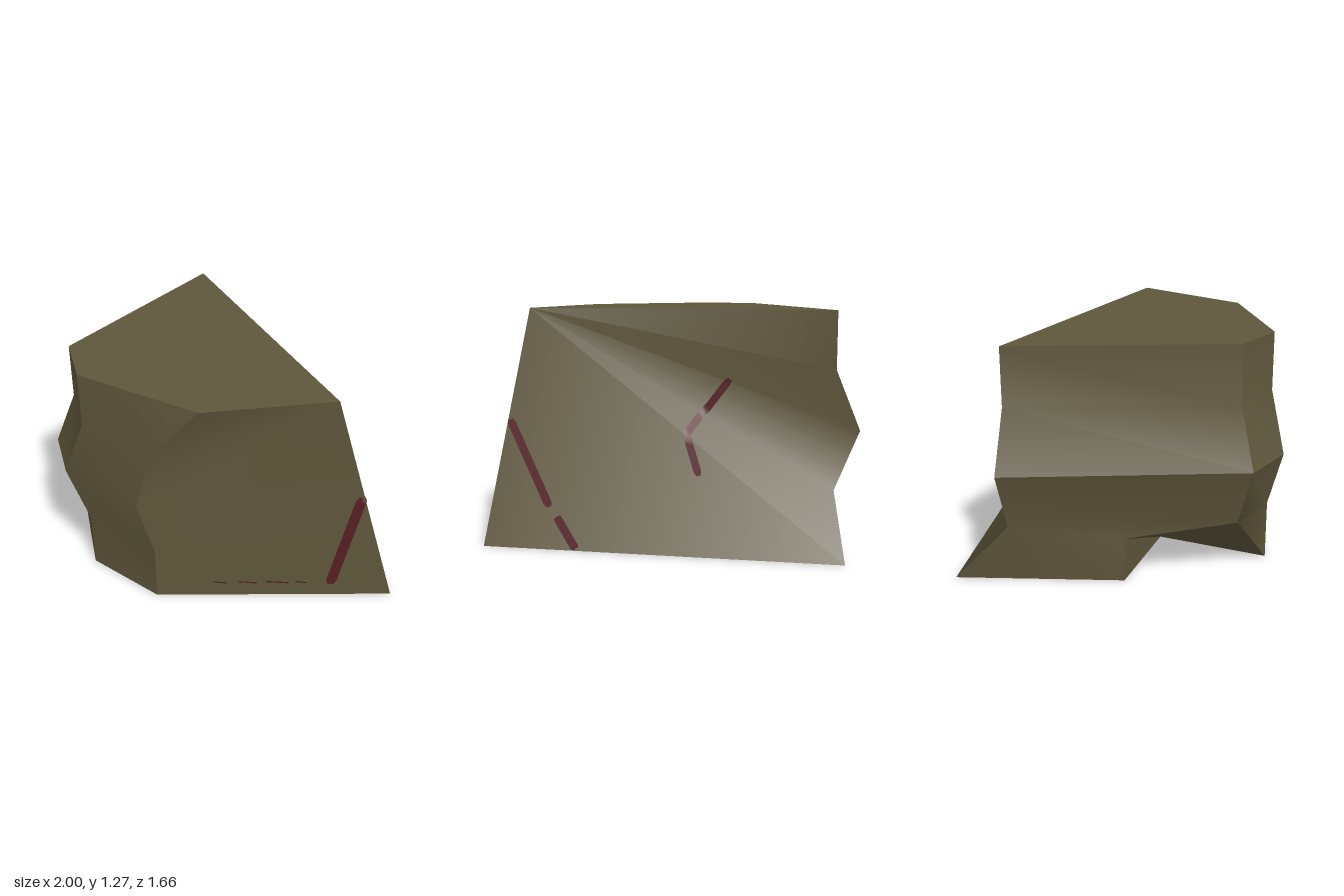
import * as THREE from 'three';
import { toCreasedNormals } from 'three/addons/utils/BufferGeometryUtils.js';

// Corner columns of the boulder, each listed from top to bottom
const A = [[-0.87, 1.27, -0.53], [-0.87, 0.96, -0.53], [-1, 0.64, -0.54], [-0.87, 0.32, -0.53], [-0.87, 0, -0.83]];
const B = [[-0.59, 1.27, 0.62], [-0.59, 0.96, 0.62], [-0.69, 0.64, 0.7], [-0.59, 0.32, 0.62]];
const C = [[-0.3, 1.27, 0.75], [-0.3, 0.96, 0.75], [-0.39, 0.64, 0.83], [-0.3, 0.32, 0.75], [-0.3, 0, 0.75]];
const D = [[0.39, 1.27, 0.49], [0.17, 0.96, 0.64], [0.12, 0.64, 0.71], [0.17, 0.32, 0.64], [0.17, 0, 0.64]];
const E = [[0.75, 1.27, -0.12], [1, 0, -0.39]];
// Corners of the hollow under the front left edge
const P1 = [-0.73, 0.24, 0.05], P0 = [-0.73, 0, 0.05], N = [-0.17, 0, 0.14];

export function createModel() {
  const group = new THREE.Group();
  const stone = new THREE.MeshStandardMaterial({ color: 0x5f573c });
  stone.name = 'olive stone';
  const red = new THREE.MeshStandardMaterial({ color: 0x561f23, side: THREE.DoubleSide });
  red.name = 'dark red';
  const rocks = [];

  // Polygons are fanned from their first corner
  function addRock(name, faces, crease) {
    const pos = [];
    for (const f of faces)
      for (let i = 1; i < f.length - 1; i++) pos.push(...f[0], ...f[i], ...f[i + 1]);
    const g = new THREE.BufferGeometry();
    g.setAttribute('position', new THREE.Float32BufferAttribute(pos, 3));
    const mesh = new THREE.Mesh(toCreasedNormals(g, crease), stone);
    mesh.name = name;
    rocks.push(mesh);
    group.add(mesh);
  }
  const wall = (l, r, from, to) => {
    const faces = [];
    for (let i = from; i < to; i++) faces.push([l[i], l[i + 1], r[i + 1], r[i]]);
    return faces;
  };

  addRock('topFace', [[A[0], B[0], C[0], D[0], E[0]]], 0.5);
  addRock('underside', [[N, D[4], C[4]], [N, E[1], D[4]], [N, A[4], E[1]], [N, P0, A[4]]], 0.5);
  addRock('leftWall', [...wall(A, B, 0, 3),
    [A[3], A[4], P0], [A[3], P0, P1], [A[3], P1, B[3]]], 0.5);
  addRock('frontLeftWall', wall(B, C, 0, 2), 0.5);
  addRock('frontWall', wall(C, D, 0, 4), 0.5);
  addRock('frontHollow', [...wall(B, C, 2, 3),
    [B[3], C[4], C[3]], [B[3], N, C[4]], [B[3], P1, N], [P1, P0, N]], 1.2);

  // Right and back walls fan out from the shared upper corner
  const right = [[D[4], E[1], E[0]]], back = [[E[0], E[1], A[4]]];
  for (let i = 0; i < 4; i++) {
    right.push([D[i], D[i + 1], E[0]]);
    back.push([E[0], A[i + 1], A[i]]);
  }
  addRock('rightWall', right, 0.9);
  addRock('backWall', back, 0.9);

  // Painted ribbon laid on the stone: path in (z, y) for the right, (x, y) for the back
  const ray = new THREE.Raycaster();
  function addMark(name, side, path, width) {
    const curve = new THREE.CurvePath();
    const pts = path.map(([a, b]) => new THREE.Vector2(a, b));
    for (let i = 1; i < pts.length; i++) curve.add(new THREE.LineCurve(pts[i - 1], pts[i]));
    const steps = 24, pos = [], index = [];
    const dir = side === 'right' ? new THREE.Vector3(-1, 0, 0) : new THREE.Vector3(0, 0, 1);
    for (let i = 0; i <= steps; i++) {
      const p = curve.getPointAt(i / steps);
      const t = curve.getTangentAt(i / steps);
      const taper = i === 0 || i === steps ? 0.6 : 1;
      for (const s of [-0.5, 0.5]) {
        const a = p.x - t.y * width * s * taper, y = p.y + t.x * width * s * taper;
        const from = side === 'right' ? new THREE.Vector3(3, y, a) : new THREE.Vector3(a, y, -3);
        ray.set(from, dir);
        const hit = ray.intersectObjects(rocks)[0];
        const q = hit ? hit.point.addScaledVector(hit.face.normal, 0.006) : null;
        if (q) pos.push(q.x, q.y, q.z);
        else pos.push(...pos.slice(-3));
      }
      if (i) index.push(2 * i - 2, 2 * i - 1, 2 * i, 2 * i, 2 * i - 1, 2 * i + 1);
    }
    const g = new THREE.BufferGeometry();
    g.setAttribute('position', new THREE.Float32BufferAttribute(pos, 3));
    g.setIndex(index);
    g.computeVertexNormals();
    const mesh = new THREE.Mesh(g, red);
    mesh.name = name;
    group.add(mesh);
  }

  addMark('rightStripe', 'right', [[-0.235, 0.68], [-0.12, 0.08]], 0.045);
  for (const [a, b] of [[0.39, 0.33], [0.28, 0.2], [0.16, 0.06], [0.03, -0.02]])
    addMark('rightDash', 'right', [[a, 0.1], [b, 0.09]], 0.009);
  addMark('backStripe', 'back', [[0.855, 0.67], [0.64, 0.22]], 0.045);
  addMark('backShortStripe', 'back', [[0.6, 0.17], [0.5, 0.01]], 0.045);
  addMark('backHook', 'back', [[-0.33, 0.9], [-0.21, 0.74], [-0.09, 0.62], [-0.15, 0.41]], 0.04);

  return group;
}
